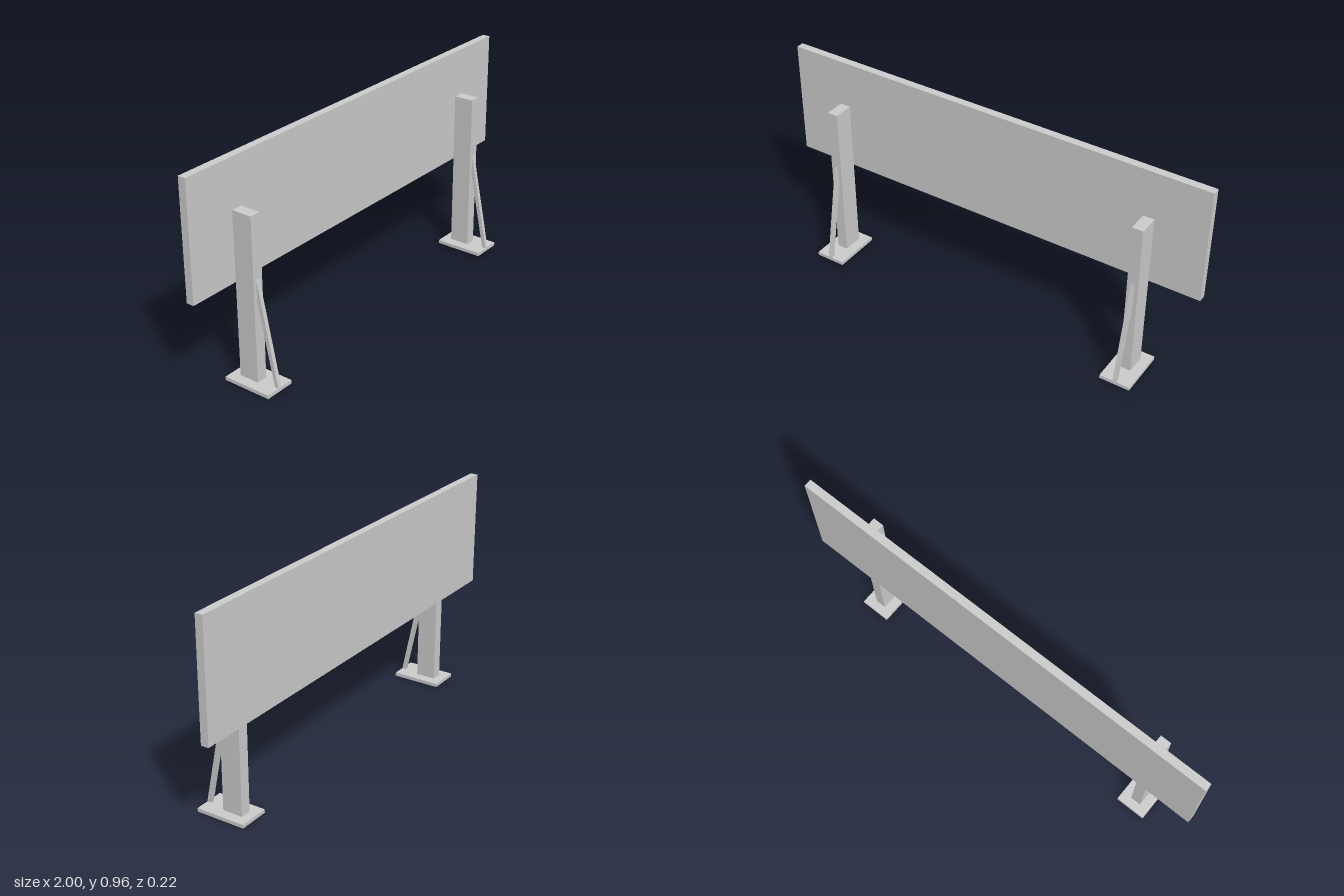
import * as THREE from 'three';

export function createModel() {
  const model = new THREE.Group();
  model.name = 'signBoard';
  const paint = new THREE.MeshStandardMaterial({ color: 0xcccccc });
  paint.name = 'light grey';

  // Box given by its extents on each axis
  function box(name, parent, [x0, x1], [y0, y1], [z0, z1]) {
    const mesh = new THREE.Mesh(new THREE.BoxGeometry(x1 - x0, y1 - y0, z1 - z0), paint);
    mesh.position.set((x0 + x1) / 2, (y0 + y1) / 2, (z0 + z1) / 2);
    mesh.name = name;
    parent.add(mesh);
  }

  // Wide board at the back
  box('panel', model, [-1, 1], [0.436, 0.96], [-0.111, -0.076]);

  // Brace side profile in (z, y), running up into the front of the post
  const profile = new THREE.Shape([
    [0.095, 0.016], [0.113, 0.016], [0.02, 0.472], [0.02, 0.376],
  ].map(([z, y]) => new THREE.Vector2(z, y)));
  const braceWidth = 0.018;
  const braceGeometry = new THREE.ExtrudeGeometry(profile, { depth: braceWidth, bevelEnabled: false });
  braceGeometry.translate(0, 0, -braceWidth / 2).rotateY(-Math.PI / 2);

  // Two matching supports: foot plate, post and slanted brace
  for (const side of [-1, 1]) {
    const support = new THREE.Group();
    support.name = side > 0 ? 'leftSupport' : 'rightSupport';
    support.position.x = side * 0.747;
    box('footPlate', support, [-0.07, 0.07], [0, 0.016], [-0.112, 0.113]);
    box('post', support, [-0.025, 0.025], [0.016, 0.747], [-0.072, 0.02]);
    const brace = new THREE.Mesh(braceGeometry, paint);
    brace.name = 'brace';
    support.add(brace);
    model.add(support);
  }
  return model;
}
